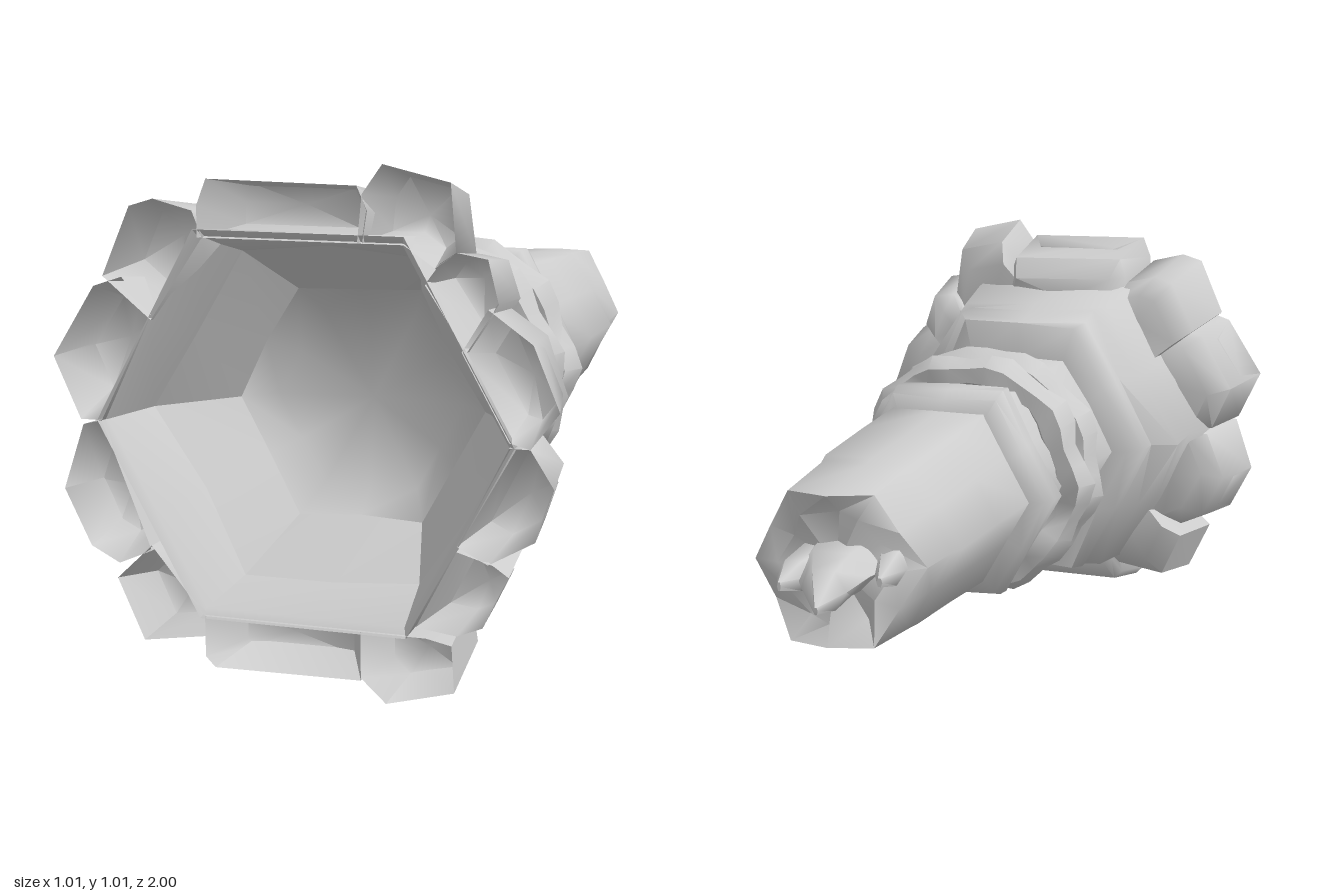
import * as THREE from 'three';
import { toCreasedNormals } from 'three/addons/utils/BufferGeometryUtils.js';

const CY = 0.51; // height of the long axis
const V = (x, y, z) => new THREE.Vector3(x, y, z);

// Skin a list of equal-length loops, ordered so the surface faces outward.
// front / back: optional cap centre points.
function loft(loops, front, back, crease = 1.15) {
  const n = loops[0].length, pos = [], idx = [];
  loops.flat().forEach(p => pos.push(p.x, p.y, p.z));
  for (let k = 0; k < loops.length - 1; k++) {
    for (let i = 0; i < n; i++) {
      const a = k * n + i, b = k * n + (i + 1) % n;
      idx.push(a, a + n, b, b, a + n, b + n);
    }
  }
  const cap = (c, base, isFront) => {
    const m = pos.length / 3;
    pos.push(c.x, c.y, c.z);
    for (let i = 0; i < n; i++) {
      const a = base + i, b = base + (i + 1) % n;
      idx.push(m, isFront ? a : b, isFront ? b : a);
    }
  };
  if (front) cap(front, 0, true);
  if (back) cap(back, (loops.length - 1) * n, false);
  const g = new THREE.BufferGeometry();
  g.setAttribute('position', new THREE.Float32BufferAttribute(pos, 3));
  g.setIndex(idx);
  return toCreasedNormals(g, crease);
}

// Twelve-point hexagon (corners on +x and -x) with a little hand-carved wobble.
function hexLoop([z, rx, ry], cx = 0, wobble = 0) {
  return Array.from({ length: 12 }, (_, i) => {
    const t = i * Math.PI / 6, r = i % 2 ? Math.cos(Math.PI / 6) : 1;
    const w = 1 + wobble * Math.sin(i * 2.3 + z * 31);
    return V(cx + Math.cos(t) * r * rx * w, CY + Math.sin(t) * r * ry / 0.866 * w, z);
  });
}

export function createModel() {
  const group = new THREE.Group();
  const stone = new THREE.MeshStandardMaterial({ color: 0xcccccc, side: THREE.DoubleSide });
  stone.name = 'plain grey';
  const add = (name, geometry) => {
    const mesh = new THREE.Mesh(geometry, stone);
    mesh.name = name;
    group.add(mesh);
  };

  // Hollow bowl: domed floor, sloping wall, then the rim ledge
  add('bowlFloor', loft([hexLoop([0.63, 0.2, 0.18]), hexLoop([0.69, 0.262, 0.232], 0, 0.02)], V(0, CY, 0.61), null, 1.3));
  add('bowlWall', loft([hexLoop([0.69, 0.262, 0.232], 0, 0.02), hexLoop([0.84, 0.37, 0.325], 0, 0.03)], null, null, 0.7));
  add('rimLedge', loft([hexLoop([0.84, 0.37, 0.325], 0, 0.03), hexLoop([0.985, 0.405, 0.358]), hexLoop([1, 0.42, 0.375])],
    null, null, 0.7));

  // Flared bell: stepped outside
  const bell = [[1, 0.42, 0.375], [0.78, 0.41, 0.36], [0.74, 0.388, 0.352], [0.6, 0.378, 0.338], [0.575, 0.32, 0.328],
    [0.51, 0.325, 0.315], [0.475, 0.285, 0.308], [0.465, 0.24, 0.22]];
  add('bell', loft(bell.map((s, k) => hexLoop(s, 0, k ? 0.02 : 0)), null, null, 1.25));

  // Rough hollow-faced blocks around the rim: front outlines as x, y pairs
  const blocks = [
    [-0.2, 0.87, -0.2, 0.93, -0.18, 0.98, 0.12, 0.975, 0.14, 0.93, 0.13, 0.87],
    [0.12, 0.87, 0.13, 0.96, 0.17, 1.015, 0.3, 0.985, 0.31, 0.86, 0.27, 0.83, 0.21, 0.87],
    [0.25, 0.8, 0.28, 0.84, 0.31, 0.86, 0.37, 0.85, 0.39, 0.77, 0.33, 0.68],
    [0.32, 0.68, 0.37, 0.76, 0.455, 0.7, 0.505, 0.58, 0.45, 0.51, 0.41, 0.52],
    [0.41, 0.51, 0.45, 0.51, 0.495, 0.44, 0.46, 0.34, 0.37, 0.29, 0.31, 0.32],
    [0.31, 0.31, 0.38, 0.29, 0.41, 0.27, 0.36, 0.17, 0.31, 0.15, 0.23, 0.16],
    [0.12, 0.14, 0.25, 0.14, 0.3, 0.13, 0.305, 0.04, 0.17, 0.005, 0.12, 0.05],
    [-0.2, 0.14, 0.12, 0.14, 0.12, 0.045, -0.18, 0.04, -0.2, 0.06],
    [-0.2, 0.14, -0.2, 0.1, -0.33, 0.08, -0.385, 0.2, -0.31, 0.27],
    [-0.31, 0.26, -0.38, 0.23, -0.44, 0.26, -0.495, 0.37, -0.45, 0.5, -0.41, 0.51],
    [-0.41, 0.51, -0.455, 0.51, -0.51, 0.63, -0.42, 0.77, -0.36, 0.79, -0.3, 0.72],
    [-0.3, 0.71, -0.4, 0.79, -0.34, 0.925, -0.29, 0.94, -0.21, 0.92, -0.19, 0.87],
  ];
  blocks.forEach((flat, k) => {
    const pts = [];
    for (let i = 0; i < flat.length; i += 2) pts.push(new THREE.Vector2(flat[i], flat[i + 1]));
    if (THREE.ShapeUtils.isClockWise(pts)) pts.reverse();
    const c = pts.reduce((s, p) => s.add(p), new THREE.Vector2()).divideScalar(pts.length);
    const inset = pts.map(p => V(c.x + (p.x - c.x) * 0.7, c.y + (p.y - c.y) * 0.7, 0.89));
    const tail = 0.78 + 0.02 * Math.sin(k * 2.1);
    const ring = (s, z, lump = 0) => pts.map((p, i) =>
      V(p.x * s, CY + (p.y - CY) * s, z + lump * Math.sin(i * 2.4 + k)));
    add('rimBlock' + (k + 1), loft([inset, ring(1, 1), ring(0.925, tail + 0.02, 0.012), ring(0.82, tail - 0.02, 0.015)],
      V(c.x, c.y, 0.87), V(c.x * 0.8, CY + (c.y - CY) * 0.8, tail - 0.02), 1.15));
  });

  // Lower shaft inside the bindings
  add('lowerShaft', loft([[0.48, 0.26, 0.226], [0.3, 0.253, 0.22], [0.15, 0.245, 0.215], [0, 0.235, 0.205]]
    .map(s => hexLoop(s, 0.01, 0.02)), null, V(0, CY, 0)));

  // Two lumpy cord bindings
  [0.245, 0.138].forEach((z0, k) => {
    const path = Array.from({ length: 18 }, (_, i) => {
      const t = i * Math.PI / 9;
      const r = 0.247 + 0.004 * Math.cos(6 * t) + 0.008 * Math.sin(i * 2.7 + k);
      return V(0.005 + Math.cos(t) * r, CY + Math.sin(t) * r, z0 + 0.011 * Math.sin(i * 1.9 + k * 2));
    });
    const curve = new THREE.CatmullRomCurve3(path, true);
    const loops = Array.from({ length: 36 }, (_, j) => {
      const p = curve.getPointAt(j / 36), t = Math.atan2(p.y - CY, p.x);
      const size = 0.042 + 0.01 * Math.sin(j * 1.75 + k * 1.3);
      return Array.from({ length: 6 }, (_, i) => {
        const a = i * Math.PI / 3, out = Math.cos(a) * size;
        return V(p.x + Math.cos(t) * out, p.y + Math.sin(t) * out, p.z + Math.sin(a) * (size * 0.6 + 0.03));
      });
    });
    loops.push(loops[0]);
    add('cordBinding' + (k + 1), loft(loops, null, null, 0.9));
  });

  // Rounded collar
  add('collar', loft([[0.045, 0.2, 0.18], [0.03, 0.24, 0.222], [0, 0.255, 0.242], [-0.04, 0.255, 0.24],
    [-0.075, 0.245, 0.225], [-0.095, 0.2, 0.18]].map(s => hexLoop(s, 0, 0.015)), V(0, CY, 0.045), V(0, CY, -0.095)));

  // Upper shaft: side corners chipped, snapped off along a ragged edge
  const breakZ = [-0.7, -0.72, -0.73, -0.75, -0.71, -0.69, -0.65, -0.69, -0.72, -0.75, -0.73, -0.7];
  const edge = hexLoop([-0.74, 0.178, 0.157], 0.002);
  edge.forEach((p, i) => { p.z = breakZ[i]; });
  const inner = edge.map((p, i) => V(p.x * 0.7, CY + (p.y - CY) * 0.7, -0.71 + 0.03 * Math.sin(i * 2.6)));
  const chipped = hexLoop([-0.53, 0.19, 0.172], 0.005);
  add('upperShaft', loft([hexLoop([-0.06, 0.22, 0.197], 0.01), hexLoop([-0.28, 0.212, 0.185], 0.01, 0.012),
    hexLoop([-0.49, 0.205, 0.175], 0.01), chipped, edge, inner], null, V(0, CY, -0.7)));

  // Splinters standing out of the break: z, centre x, half width, half height
  const splinters = [
    [[-0.6, 0, 0.12, 0.06], [-0.76, -0.015, 0.08, 0.05], [-0.87, -0.045, 0.048, 0.045], [-1, -0.085, 0.004, 0.008]],
    [[-0.6, 0.04, 0.07, 0.05], [-0.8, 0.05, 0.035, 0.035], [-0.88, 0.045, 0.004, 0.01]],
    [[-0.58, -0.1, 0.05, 0.06], [-0.69, -0.11, 0.035, 0.04], [-0.79, -0.128, 0.006, 0.01]],
  ];
  splinters.forEach((rows, k) => {
    const loops = rows.map(([z, cx, w, h]) => Array.from({ length: 6 }, (_, i) => {
      const a = i * Math.PI / 3;
      return V(cx + Math.cos(a) * w, CY + 0.004 + Math.sin(a) * h, z);
    }));
    const end = rows[rows.length - 1];
    add('splinter' + (k + 1), loft(loops, null, V(end[1], CY + 0.004, end[0])));
  });

  return group;
}
